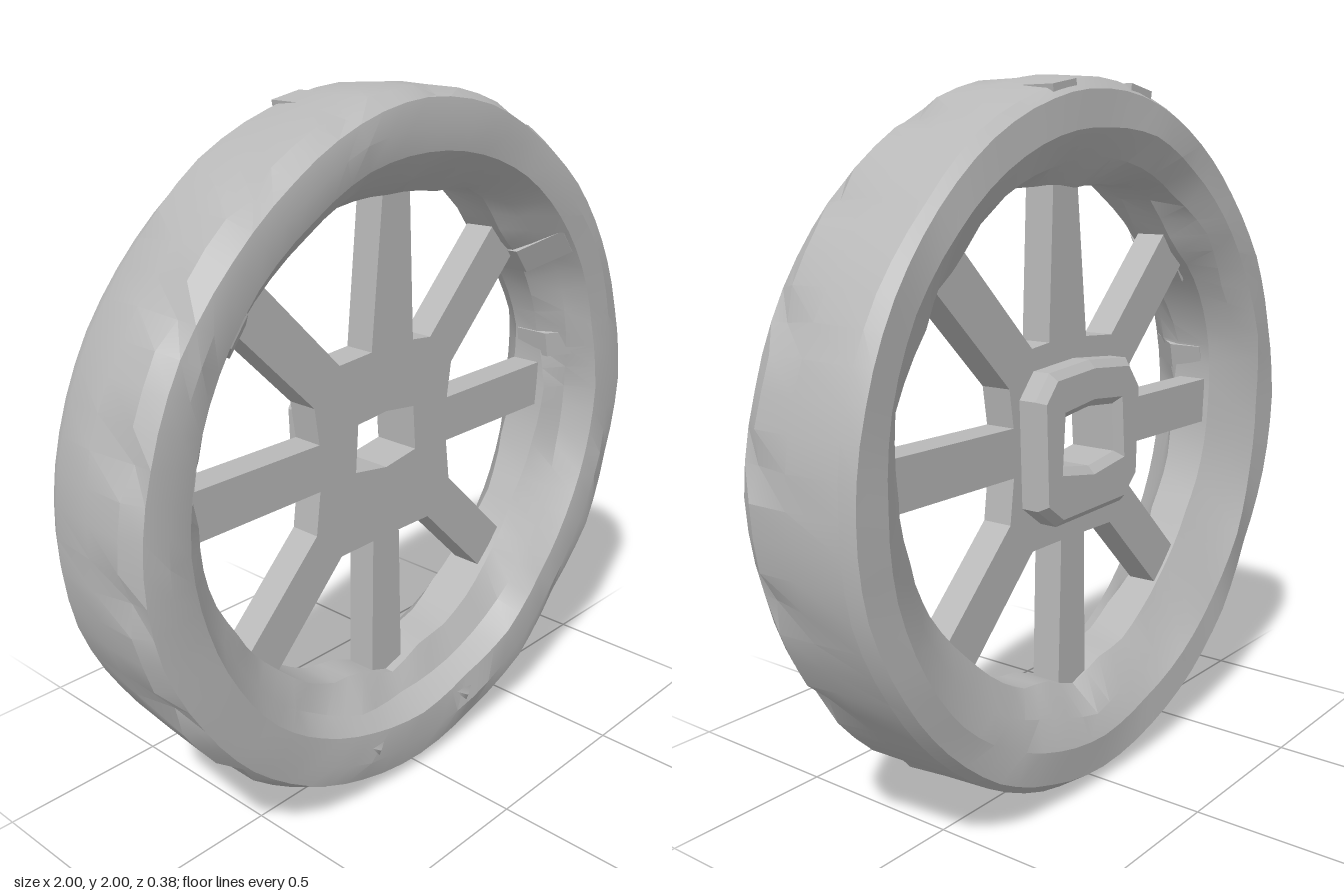
import * as THREE from 'three';
import { toCreasedNormals } from 'three/addons/utils/BufferGeometryUtils.js';

const TAU = Math.PI * 2;

// Small seeded generator for the hand-hewn irregularities, -1..1
function makeNoise(seed) {
  let s = seed;
  return () => {
    s = (s * 16807) % 2147483647;
    return (s / 2147483647) * 2 - 1;
  };
}

// Radius of the opening inside the rim by elevation in degrees, same on both sides
const OPENING = [
  [-90, 0.73], [-79, 0.69], [-70, 0.705], [-61, 0.698], [-49, 0.69], [-36, 0.69], [-29, 0.69],
  [-20, 0.705], [-11, 0.712], [0, 0.715], [16, 0.74], [26, 0.735], [38, 0.725], [45, 0.71],
  [52, 0.72], [58, 0.755], [63, 0.765], [68, 0.755], [74, 0.728], [90, 0.705],
];

function openingRadius(angle) {
  const e = THREE.MathUtils.radToDeg(Math.asin(Math.sin(angle)));
  const k = Math.max(1, OPENING.findIndex(([deg]) => deg >= e - 1e-6));
  const [e0, r0] = OPENING[k - 1], [e1, r1] = OPENING[k];
  return THREE.MathUtils.mapLinear(e, e0, e1, r0, r1);
}

// Rim cross-section: radius, z, kind (t = tread, n = notched tread, f = side face,
// e = front inner edge, w = sloping inner wall, i = opening, where the radius is an offset)
const RIM_PROFILE = [
  [0.95, -0.182, 't'], [0.972, -0.145, 't'], [0.984, 0.0, 't'],
  [0.988, 0.12, 'n'], [0.957, 0.172, 't'], [0.9, 0.182, 'f'], [0.828, 0.175, 'e'],
  [0.775, 0.105, 'w'], [0, 0.04, 'i'], [0, -0.075, 'i'],
  [0.785, -0.145, 'w'], [0.86, -0.185, 'f'],
];

function rimGeometry() {
  const noise = makeNoise(4217);
  const n = 72, m = RIM_PROFILE.length;
  const pos = [], index = [];
  // slow wobble per profile line, interpolated over groups of three segments
  const wobble = RIM_PROFILE.map(() => Array.from({ length: n / 3 }, () => [noise(), noise()]));
  for (let i = 0; i < n; i++) {
    const a = (i / n) * TAU;
    RIM_PROFILE.forEach(([r0, z0, kind], j) => {
      const k = Math.floor(i / 3), f = (i % 3) / 3;
      const w0 = wobble[j][k], w1 = wobble[j][(k + 1) % (n / 3)];
      const wr = w0[0] + (w1[0] - w0[0]) * f, wz = w0[1] + (w1[1] - w0[1]) * f;
      let r = r0 + wr * (kind === 'w' ? 0.018 : 0.006);
      const z = z0 + wz * (kind === 'w' || kind === 'i' ? 0.018 : 0.007);
      if (kind === 'i') r += openingRadius(a);
      if (kind === 'e') r += 0.012 * Math.sin(a);
      // the tread is slightly fuller at the four quarters
      if (kind === 't' || kind === 'n') r += 0.009 * Math.cos(4 * a);
      if (kind === 'n' && i % 4 === 1) r -= 0.025;
      pos.push(r * Math.cos(a), r * Math.sin(a), z);
    });
  }
  for (let i = 0; i < n; i++) {
    for (let j = 0; j < m; j++) {
      const i2 = (i + 1) % n, j2 = (j + 1) % m;
      const a = i * m + j, b = i2 * m + j, c = i2 * m + j2, d = i * m + j2;
      index.push(a, b, c, a, c, d);
    }
  }
  const g = new THREE.BufferGeometry();
  g.setAttribute('position', new THREE.Float32BufferAttribute(pos, 3));
  g.setIndex(index);
  return toCreasedNormals(g, 0.4);
}

const vectors = (pts) => pts.map(([x, y]) => new THREE.Vector2(x, y));

// Axle hole shared by the spoke plate and the rear boss
const axleHole = () => new THREE.Path(vectors([
  [-0.125, -0.045], [0, -0.065], [0.125, -0.045], [0.115, 0.09], [0, 0.105], [-0.115, 0.095],
]));

function plate(points, z0, z1, bevel = 0) {
  const shape = new THREE.Shape(points);
  shape.holes.push(axleHole());
  const g = new THREE.ExtrudeGeometry(shape, {
    depth: z1 - z0 - bevel * 2, bevelEnabled: bevel > 0,
    bevelThickness: bevel, bevelSize: bevel, bevelOffset: -bevel, bevelSegments: 1,
  });
  g.translate(0, 0, z0 + bevel);
  return g;
}

// Star outline: eight spokes growing out of the hub; each has a distance and
// sideways edges [low, high] at its root and at its tip
function spokeOutline() {
  const points = [];
  for (let k = 0; k < 8; k++) {
    const a = (k / 8) * TAU, c = Math.cos(a), s = Math.sin(a);
    let root = 0.265, base = [-0.068, 0.068], tip = [-0.07, 0.07];
    if (k % 2) root = 0.33;
    if (k === 2) { root = 0.29; base = [-0.11, 0.06]; tip = [-0.088, 0.008]; }
    if (k === 6) { root = 0.28; base = [-0.055, 0.055]; tip = [-0.062, 0.07]; }
    for (const [d, w] of [[root, base[0]], [0.8, tip[0]], [0.8, tip[1]], [root, base[1]]]) {
      points.push(new THREE.Vector2(c * d - s * w, s * d + c * w + (k % 4 === 0 ? 0.01 : 0)));
    }
  }
  return points;
}

// Wedge running from the front of the rim down to the spokes, x = radius
function lugGeometry(inner, width) {
  const side = new THREE.Shape(vectors([[inner, -0.05], [0.86, -0.05], [0.86, 0.165], [0.82, 0.165], [inner, 0.06]]));
  const g = new THREE.ExtrudeGeometry(side, { depth: width, bevelEnabled: false });
  g.translate(0, 0, -width / 2);
  g.rotateX(Math.PI / 2);
  return g;
}

export function createModel() {
  const grey = new THREE.MeshStandardMaterial({ color: 0xb8b8b8 });
  grey.name = 'weathered grey';
  const wheel = new THREE.Group();
  wheel.name = 'wheel';
  const add = (name, geometry, x = 0, y = 0, z = 0, turn = 0) => {
    const mesh = new THREE.Mesh(geometry, grey);
    mesh.name = name;
    mesh.position.set(x, y, z);
    mesh.rotation.z = turn;
    wheel.add(mesh);
  };

  add('rim', rimGeometry());
  add('spokes', plate(spokeOutline(), -0.065, 0.027));

  // Squarish boss with sloping edges on the back of the hub
  add('rearBoss', plate(vectors([
    [-0.23, -0.13], [-0.16, -0.2], [0.15, -0.21], [0.23, -0.15],
    [0.24, 0.15], [0.18, 0.22], [0, 0.235], [-0.18, 0.22], [-0.24, 0.14],
  ]), -0.14, -0.03, 0.022));

  for (const side of [-1, 1]) {
    // Lugs inside the rim
    for (const [name, angle, inner, width] of [['upperLug', 0.66, 0.715, 0.09], ['middleLug', 0.2, 0.73, 0.08]]) {
      add(name, lugGeometry(inner, width), 0, 0, 0, side > 0 ? angle : Math.PI - angle);
    }
    // Small chips on the lower front face
    const chip = new THREE.ConeGeometry(0.05, 0.02, 3);
    chip.rotateX(Math.PI / 2);
    add('frontChip', chip, side * 0.2, -0.845, 0.182);
    // Low raised block on the tread, beside the top
    const angle = Math.PI / 2 - side * 0.18;
    add('treadBlock', new THREE.BoxGeometry(0.03, 0.1, 0.15),
      Math.cos(angle) * 0.967, Math.sin(angle) * 0.967, -0.09, angle);
  }

  wheel.position.y = 1;
  const model = new THREE.Group();
  model.name = 'spokedWheel';
  model.add(wheel);
  return model;
}
